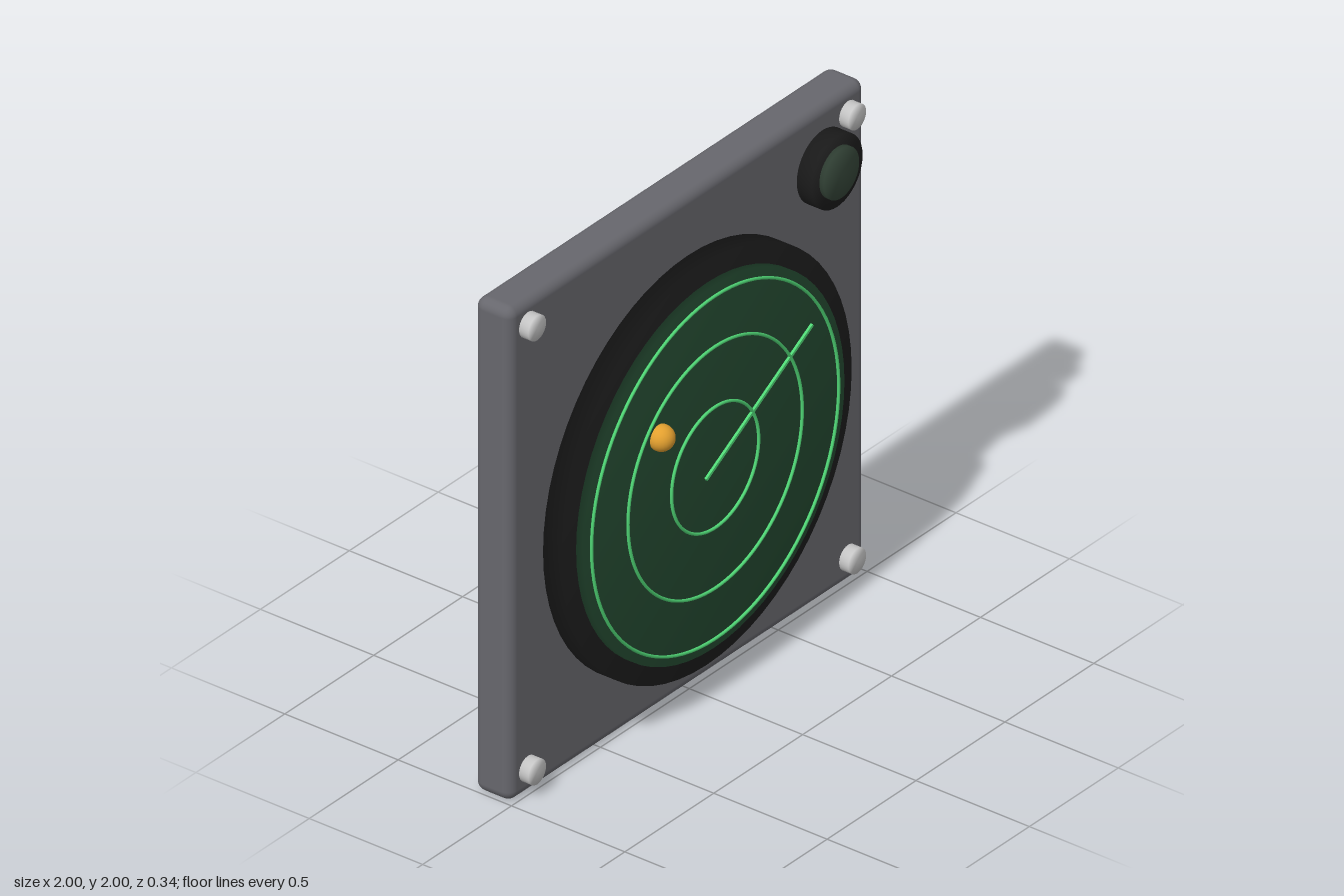
import * as THREE from 'three';
import { mergeVertices } from 'three/addons/utils/BufferGeometryUtils.js';
import { RoundedBoxGeometry } from 'three/addons/geometries/RoundedBoxGeometry.js';

const DIAL_Y = 0.94;
const material = (color) => new THREE.MeshStandardMaterial({ color });
const MAT = {
  panel: material(0x67676d),
  black: material(0x1d1d1d),
  screen: material(0x244a31),
  lens: material(0x36473a),
  glow: material(0x4fd675),
  blip: material(0xe3a02f),
  metal: material(0xbdbdbd),
};

export function createModel() {
  const group = new THREE.Group();

  const add = (name, geometry, mat, x, y, z) => {
    const mesh = new THREE.Mesh(geometry, mat);
    mesh.name = name;
    mesh.position.set(x, y, z);
    group.add(mesh);
    return mesh;
  };

  // Disc facing +z between two depths, shaded softly across its rim
  const disc = (name, radius, back, front, mat, x, y, segments = 64) => {
    const cylinder = new THREE.CylinderGeometry(radius, radius, front - back, segments);
    cylinder.rotateX(Math.PI / 2);
    cylinder.deleteAttribute('normal');
    cylinder.deleteAttribute('uv');
    const soft = mergeVertices(cylinder, 1e-4);
    soft.computeVertexNormals();
    return add(name, soft, mat, x, y, (back + front) / 2);
  };

  // Back plate with rounded edges
  add('panel', new RoundedBoxGeometry(2, 2, 0.163, 4, 0.04), MAT.panel, 0, 1, -0.0875);

  // Dial: black bezel and the green screen on it
  disc('bezel', 0.815, -0.02, 0.077, MAT.black, 0, DIAL_Y);
  disc('screen', 0.735, 0.06, 0.108, MAT.screen, 0, DIAL_Y);

  // Concentric range rings
  for (const radius of [0.245, 0.49, 0.695]) {
    add('rangeRing', new THREE.TorusGeometry(radius, 0.006, 8, 96), MAT.glow, 0, DIAL_Y, 0.114);
  }

  // Sweep line and target blip
  const sweep = add('sweepLine', new THREE.BoxGeometry(0.69, 0.011, 0.01), MAT.glow, 0.247, 1.087, 0.114);
  sweep.rotation.z = Math.PI / 6;
  add('blip', new THREE.SphereGeometry(0.05, 24, 16), MAT.blip, -0.31, 1.21, 0.12);

  // Knob with a lens cap
  disc('knob', 0.143, -0.02, 0.06, MAT.black, 0.755, 1.76, 40);
  disc('knobLens', 0.1, 0.04, 0.079, MAT.lens, 0.755, 1.76, 40);

  // Corner screws
  for (const x of [-0.9, 0.9]) {
    for (const y of [0.103, 1.903]) {
      disc('screw', 0.05, -0.02, 0.035, MAT.metal, x, y, 24);
    }
  }

  return group;
}
